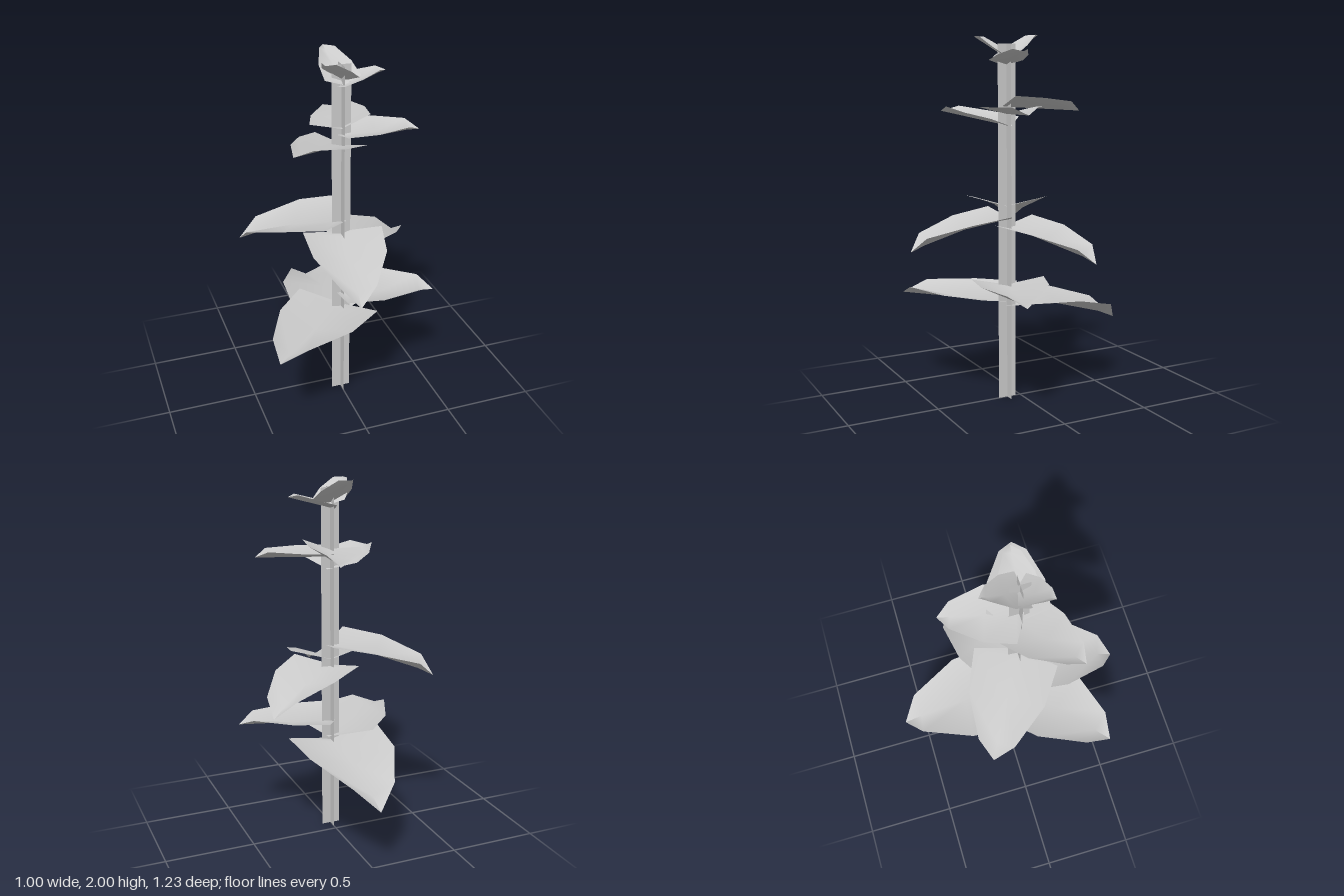
import * as THREE from 'three';

const STEM_Z = 0.08;
const material = new THREE.MeshStandardMaterial({ color: 0xcccccc, side: THREE.DoubleSide });

// Unit-long leaf along +z: V-folded cross-sections [length, half width, edge lift]
const SECTIONS = [[0, 0, 0], [0.09, 0.37, 0.09], [0.46, 0.335, 0.09], [0.85, 0.16, 0.09], [1, 0, 0]];

function leafGeometry(arch) {
  const pos = [], index = [];
  SECTIONS.forEach(([l, w, lift], i) => {
    const rib = arch * l * (1 - l);
    pos.push(w, rib + lift, l, 0, rib, l, -w, rib + lift, l);
    if (i === 0) return;
    for (let s = 0; s < 2; s++) {
      const a = (i - 1) * 3 + s, b = a + 1, c = a + 3, d = a + 4;
      index.push(b, c, a, b, d, c);
    }
  });
  const g = new THREE.BufferGeometry();
  g.setAttribute('position', new THREE.Float32BufferAttribute(pos, 3));
  g.setIndex(index);
  return g;
}

// Leaf running from the stem at height baseY out to its tip
function makeLeaf(name, baseY, [x, y, z], arch = 0, roll = 0) {
  const out = new THREE.Vector3(x, 0, z - STEM_Z).normalize();
  const base = new THREE.Vector3(0, baseY, STEM_Z).addScaledVector(out, -0.025);
  const forward = new THREE.Vector3(x, y, z).sub(base);
  const size = forward.length();
  forward.normalize();
  const side = new THREE.Vector3(0, 1, 0).cross(forward).normalize();
  const up = forward.clone().cross(side);
  const g = leafGeometry(arch);
  g.rotateZ(roll);
  g.scale(size, size, size);
  g.applyMatrix4(new THREE.Matrix4().makeBasis(side, up, forward).setPosition(base));
  g.computeVertexNormals();
  const mesh = new THREE.Mesh(g, material);
  mesh.name = name;
  return mesh;
}

export function createModel() {
  const model = new THREE.Group();
  model.name = 'plant';

  // Stem: two crossed upright planes
  const stem = new THREE.Group();
  stem.name = 'stem';
  for (const turn of [0, Math.PI / 2]) {
    const plane = new THREE.Mesh(new THREE.PlaneGeometry(0.105, 1.95), material);
    plane.name = 'stemPlane';
    plane.position.set(0, 0.975, STEM_Z);
    plane.rotation.y = turn;
    stem.add(plane);
  }
  model.add(stem);

  // Four tiers of three leaves: base height, tip, arch, roll
  const tiers = {
    lowest: [
      [0.525, [0.01, 0.38, -0.615], 0.25],
      [0.55, [-0.48, 0.55, 0.51]],
      [0.64, [0.5, 0.64, 0.22]],
    ],
    middle: [
      [1.01, [-0.08, 0.86, 0.61], 0.18],
      [1.085, [-0.5, 0.93, -0.2], 0.2],
      [0.965, [0.44, 0.81, -0.22], 0.2],
    ],
    upper: [
      [1.62, [0.105, 1.595, -0.31], 0, -0.15],
      [1.58, [0.4, 1.59, 0.16]],
      [1.515, [-0.33, 1.59, 0.32]],
    ],
    top: [
      [1.835, [0.23, 1.905, 0.1]],
      [1.86, [-0.13, 1.99, 0.21]],
      [1.85, [-0.03, 2, -0.125]],
    ],
  };
  for (const [tier, leaves] of Object.entries(tiers)) {
    const group = new THREE.Group();
    group.name = tier + 'Leaves';
    leaves.forEach((leaf, i) => group.add(makeLeaf(`${tier}Leaf${i + 1}`, ...leaf)));
    model.add(group);
  }
  return model;
}
